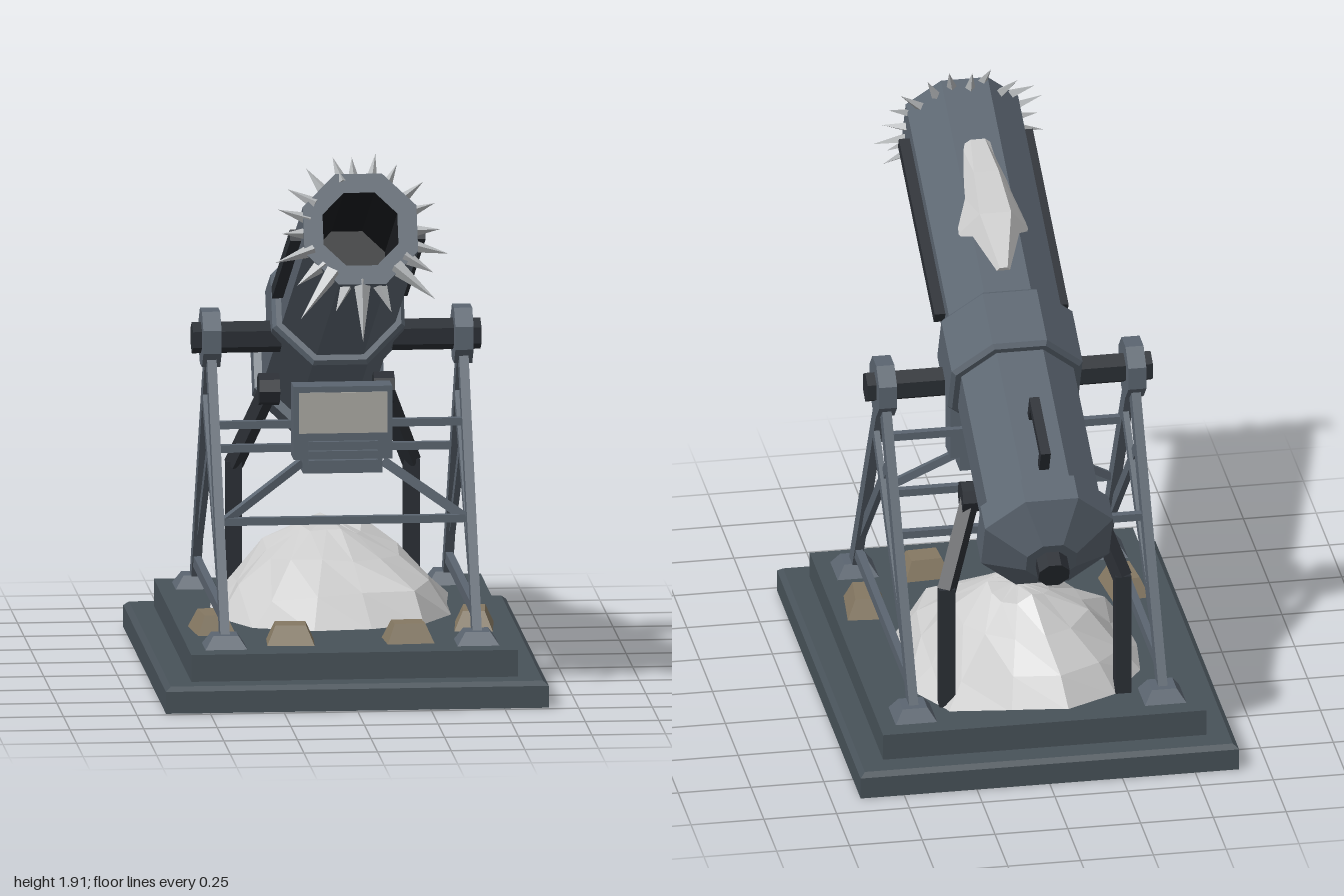
import * as THREE from 'three';

const mat = (color, side = THREE.FrontSide) =>
  new THREE.MeshStandardMaterial({ color, flatShading: true, side });
const STEEL = mat(0x5b6570), BASE = mat(0x485259), DARK = mat(0x2b2f35), BORE = mat(0x1a1c1f);
const SNOW = mat(0xd2d3d4, THREE.DoubleSide), ICE = mat(0xb4b7b9), BRICK = mat(0x857862), SCREEN = mat(0xaaa8a2);
const V = (x, y, z) => new THREE.Vector3(x, y, z);

function add(parent, name, geometry, material, x = 0, y = 0, z = 0) {
  const m = new THREE.Mesh(geometry, material);
  m.name = name;
  m.position.set(x, y, z);
  parent.add(m);
  return m;
}
const box = (p, name, material, w, h, d, x, y, z) =>
  add(p, name, new THREE.BoxGeometry(w, h, d), material, x, y, z);

// Square bar running from a to b
function beam(p, name, material, a, b, w, h = w) {
  const m = add(p, name, new THREE.BoxGeometry(w, h, a.distanceTo(b)), material);
  m.position.copy(a).add(b).multiplyScalar(0.5);
  m.lookAt(b);
  return m;
}

// Block whose top is inset on every side; stands on y = 0
function taperedBlock(w, h, d, inset) {
  const g = new THREE.BoxGeometry(w, h, d).translate(0, h / 2, 0);
  const pos = g.attributes.position;
  for (let i = 0; i < pos.count; i++) if (pos.getY(i) > h / 2) {
    pos.setX(i, pos.getX(i) * (1 - 2 * inset / w));
    pos.setZ(i, pos.getZ(i) * (1 - 2 * inset / d));
  }
  return g;
}

// Octagonal turned part along z; profile is [apothem, z], flats facing up
function octagon(profile) {
  const pts = profile.map(([r, z]) => new THREE.Vector2(r / Math.cos(Math.PI / 8), z));
  return new THREE.LatheGeometry(pts, 8, Math.PI / 8).rotateX(Math.PI / 2);
}

// Surface through closed rings of equal point count, with capped ends
function loft(rings) {
  const n = rings[0].length, idx = [];
  for (let r = 0; r < rings.length - 1; r++) for (let i = 0; i < n; i++) {
    const a = r * n + i, b = r * n + (i + 1) % n;
    idx.push(a, b, a + n, b, b + n, a + n);
  }
  const last = (rings.length - 1) * n;
  for (let i = 1; i < n - 1; i++) idx.push(0, i + 1, i, last, last + i, last + i + 1);
  const g = new THREE.BufferGeometry().setFromPoints(rings.flat());
  g.setIndex(idx);
  g.computeVertexNormals();
  return g;
}

function seeded(seed) {
  return () => (seed = (seed * 16807) % 2147483647) / 2147483647;
}

function buildBarrel() {
  const g = new THREE.Group();
  g.name = 'barrel';
  const axis = 0.093;
  add(g, 'barrelTube', octagon([[0, -0.89], [0.085, -0.89], [0.22, -0.8], [0.22, -0.7], [0.193, -0.69],
    [0.193, 1.07], [0.127, 1.07]]), STEEL, 0, axis);
  add(g, 'bore', octagon([[0.127, 1.07], [0.127, 0.55], [0, 0.55]]), BORE, 0, axis);
  add(g, 'collar', octagon([[0.19, -0.125], [0.212, -0.125], [0.225, -0.11], [0.225, 0.11],
    [0.212, 0.125], [0.19, 0.125]]), STEEL, 0, axis);
  add(g, 'breechKnob', octagon([[0, -0.95], [0.052, -0.95], [0.052, -0.86]]), DARK, 0, axis);
  for (const s of [-1, 1]) box(g, 'sideRail', DARK, 0.05, 0.04, 0.77, s * 0.205, 0.103, 0.577);
  // Carrying handle
  box(g, 'handleGrip', DARK, 0.034, 0.03, 0.25, 0, 0.355, -0.52);
  for (const z of [-0.41, -0.63]) box(g, 'handlePost', DARK, 0.034, 0.09, 0.03, 0, 0.315, z);

  // Snow drift lying on the tube
  const drift = [[0.23, 0.03, 0.3], [0.43, 0.12, 0.35], [0.62, 0.095, 0.338], [0.79, 0.055, 0.305]];
  add(g, 'barrelSnow', loft(drift.map(([z, w, top]) => {
    const edge = w > 0.08 ? 0.25 : 0.275;
    return [V(w, edge, z), V(w * 0.45, top, z), V(-w * 0.45, top, z), V(-w, edge, z)];
  })), SNOW);

  // Ice spikes around the muzzle, longer underneath
  const rnd = seeded(11), spikes = 20;
  for (let i = 0; i < spikes; i++) {
    const a = (i + 0.3 * rnd()) / spikes * Math.PI * 2;
    const low = Math.max(0, -Math.sin(a));
    const len = 0.085 + 0.03 * rnd() + low * (i % 2 ? 0.12 : 0.03);
    const cone = new THREE.ConeGeometry(0.022 + low * 0.008, len, 4).translate(0, len / 2, 0);
    const s = add(g, 'iceSpike', cone, ICE, Math.cos(a) * 0.175, axis + Math.sin(a) * 0.175, 1.02 + 0.045 * rnd());
    const lean = V(Math.cos(a) + 0.3 * (rnd() - 0.5), Math.sin(a), 0.35 * (rnd() - 0.4)).normalize();
    s.quaternion.setFromUnitVectors(V(0, 1, 0), lean);
  }
  g.position.set(0, 1.142, -0.083);
  g.rotation.x = -25 * Math.PI / 180;
  return g;
}

function buildStand() {
  const g = new THREE.Group();
  g.name = 'stand';
  // Points on the front and rear legs at a given height
  const front = (x, y) => V(x, y, -0.083 + 0.558 * (1.142 - y) / 0.942);
  const rear = (x, y) => V(x, y, -0.083 - 0.577 * (1.142 - y) / 0.942);
  for (const s of [-1, 1]) {
    const x = s * 0.428;
    for (const leg of [front, rear]) {
      beam(g, 'leg', STEEL, leg(x, 1.12), leg(x, 0.2), 0.032, 0.055);
      add(g, 'foot', taperedBlock(0.145, 0.045, 0.145, 0.03), STEEL, x, 0.18, leg(x, 0.2).z);
    }
    beam(g, 'crossBrace', STEEL, front(x + 0.006, 0.93), rear(x + 0.006, 0.36), 0.02, 0.04);
    beam(g, 'crossBrace', STEEL, rear(x - 0.006, 0.93), front(x - 0.006, 0.36), 0.02, 0.04);
    beam(g, 'lowerRail', STEEL, front(x, 0.28), rear(x, 0.28), 0.025, 0.04);
    // Trunnion and bearing
    const hub = new THREE.CylinderGeometry(0.103, 0.103, 0.062, 8).rotateY(Math.PI / 8).rotateZ(Math.PI / 2);
    add(g, 'bearing', hub, STEEL, x, 1.142, -0.083);
    const axle = new THREE.CylinderGeometry(0.054, 0.054, 0.3, 6).rotateY(Math.PI / 2).rotateZ(Math.PI / 2);
    add(g, 'trunnion', axle, DARK, s * 0.34, 1.142, -0.083);
    // Bent elevating strut
    const elbow = V(s * 0.302, 0.61, -0.6), pin = V(s * 0.195, 0.89, -0.465);
    beam(g, 'strut', DARK, pin, elbow, 0.048);
    box(g, 'strutPost', DARK, 0.055, 0.44, 0.045, s * 0.302, 0.4, -0.6);
    add(g, 'strutPin', new THREE.CylinderGeometry(0.055, 0.055, 0.07, 8).rotateZ(Math.PI / 2), DARK, pin.x, pin.y, pin.z);
    beam(g, 'consoleBrace', STEEL, front(s * 0.41, 0.57), V(s * 0.14, 0.75, 0.15), 0.026);
  }
  for (const [leg, y] of [[front, 0.87], [front, 0.57], [rear, 0.71]])
    beam(g, 'crossBar', STEEL, leg(-0.43, y), leg(0.43, y), 0.026);
  return g;
}

function buildConsole() {
  const g = new THREE.Group();
  g.name = 'console';
  box(g, 'consoleCase', STEEL, 0.335, 0.25, 0.095, 0, 0.89, 0.135);
  box(g, 'consoleBottom', STEEL, 0.27, 0.06, 0.085, 0, 0.745, 0.13);
  box(g, 'screen', SCREEN, 0.3, 0.14, 0.01, 0, 0.925, 0.182);
  for (let i = 0; i < 3; i++) box(g, 'controlStrip', STEEL, 0.235, 0.016, 0.025, 0, 0.82 - i * 0.032, 0.187);
  return g;
}

// Faceted snow mound, built from shrinking rings
function snowMound() {
  const rnd = seeded(5), n = 14;
  const levels = [[1, 0.175], [0.8, 0.27], [0.52, 0.375], [0.25, 0.455], [0.06, 0.47]];
  const rings = levels.map(([k, y], level) => Array.from({ length: n }, (_, i) => {
    const a = -i / n * Math.PI * 2, c = Math.cos(a), s = Math.sin(a);
    const square = 1 / Math.pow(Math.abs(c) ** 3 + Math.abs(s) ** 3, 1 / 3);
    const r = k * square * (0.92 + 0.14 * rnd());
    const lift = level && level < 4 ? (rnd() - 0.5) * 0.055 : 0;
    return V(c * r * 0.43, y + lift, -0.25 - 0.05 * (1 - k) + s * r * 0.46);
  }));
  return loft(rings);
}

export function createModel() {
  const model = new THREE.Group();
  model.name = 'cannonOnStand';
  // Stepped plinth
  box(model, 'plinthLower', BASE, 1.3, 0.075, 1.63, 0, 0.0375, -0.085);
  add(model, 'plinthBevel', taperedBlock(1.3, 0.015, 1.63, 0.018), BASE, 0, 0.075, -0.085);
  box(model, 'plinthUpper', BASE, 1.11, 0.1, 1.43, 0, 0.132, -0.085);
  add(model, 'snowMound', snowMound(), SNOW);
  // Loose bricks
  for (const s of [-1, 1]) {
    for (const [x, z, w, d, turn] of [[0.2, 0.42, 0.16, 0.14, 0.06], [0.445, 0.18, 0.13, 0.19, -0.1]]) {
      const b = add(model, 'brick', taperedBlock(w, 0.065, d, 0.028), BRICK, s * x, 0.182, z);
      b.rotation.y = s * turn;
    }
  }
  model.add(buildStand(), buildConsole(), buildBarrel());
  return model;
}
